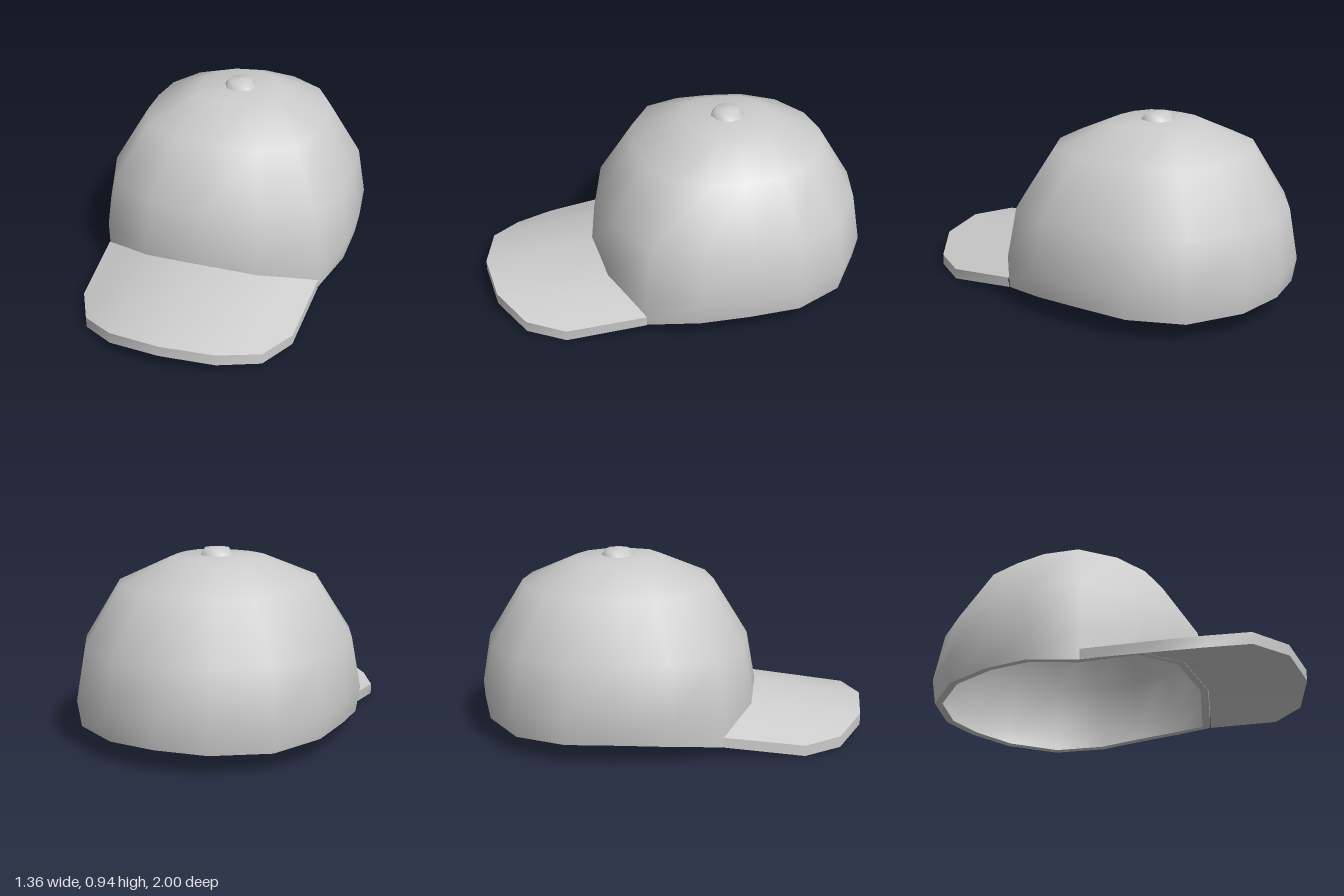
import * as THREE from 'three';
import { toCreasedNormals } from 'three/addons/utils/BufferGeometryUtils.js';

const CENTRE_Z = -0.28;
const material = new THREE.MeshStandardMaterial({ color: 0xcccccc });

// Skin a list of equally long rows of [x, y, z] points, skipping collapsed triangles.
function skin(rows, closed, crease) {
  const pos = [];
  const v = (p) => new THREE.Vector3(...p);
  const tri = (a, b, c) => {
    const area = v(b).sub(v(a)).cross(v(c).sub(v(a))).length();
    if (area > 1e-7) pos.push(...a, ...b, ...c);
  };
  const n = rows[0].length;
  for (let i = 0; i < rows.length - 1; i++) {
    for (let j = 0; j < (closed ? n : n - 1); j++) {
      const k = (j + 1) % n;
      tri(rows[i][j], rows[i][k], rows[i + 1][k]);
      tri(rows[i][j], rows[i + 1][k], rows[i + 1][j]);
    }
  }
  const geometry = new THREE.BufferGeometry();
  geometry.setAttribute('position', new THREE.Float32BufferAttribute(pos, 3));
  return toCreasedNormals(geometry, crease);
}

function addMesh(group, name, geometry) {
  const mesh = new THREE.Mesh(geometry, material);
  mesh.name = name;
  group.add(mesh);
  return mesh;
}

// Half of the head outline [x, z], from the front middle to the back middle
const outline = [[0, 0.435], [0.3, 0.39], [0.575, 0.23], [0.67, -0.02], [0.68, -0.27],
  [0.652, -0.54], [0.51, -0.79], [0.255, -0.953], [0, -1]];
// Height of the hem at each outline point; it rises under the brim
const hem = [0.19, 0.15, 0.06, 0.097, 0.11, 0.106, 0.096, 0.102, 0.11];

// Full ring made from the mirrored half outline
function ring(scale, height) {
  const half = outline.map(([x, z], i) =>
    [x * scale(i), height(i), CENTRE_Z + (z - CENTRE_Z) * scale(i)]);
  const mirrored = half.slice(1, -1).reverse().map(([x, y, z]) => [-x, y, z]);
  return [...half, ...mirrored];
}

function crownGeometry() {
  // [scale, height] from the widest ring up to the top
  const levels = [[1, 0.225], [0.935, 0.48], [0.685, 0.77], [0.317, 0.887], [0, 0.9]];
  const hemScale = (i) => (i < 3 ? 0.995 : 0.972);
  const outer = levels.map(([s, y]) => ring(() => s, () => y));
  const inner = levels.map(([s, y]) => ring(() => s * 0.945, () => y - 0.02)).reverse();
  const rows = [
    ...inner,
    ring((i) => hemScale(i) * 0.945, (i) => hem[i] + 0.003),
    ring(hemScale, (i) => hem[i]),
    ...outer,
  ];
  return skin(rows, true, 0.95);
}

function brimGeometry() {
  // Half columns from the middle outwards: [x, z, top y, bottom y]
  const root = [[0, 0.433, 0.22, 0.19], [0.3, 0.388, 0.187, 0.15],
    [0.44, 0.308, 0.15, 0.105], [0.575, 0.23, 0.11, 0.06], [0.575, 0.23, 0.11, 0.06]];
  const rim = [[0, 1, 0.135, 0.08], [0.265, 0.953, 0.113, 0.055],
    [0.45, 0.82, 0.062, 0.006], [0.548, 0.63, 0.054, 0], [0.575, 0.23, 0.11, 0.06]];
  const row = (half, k) => {
    const right = half.map((p) => [p[0], p[k], p[1]]);
    const left = right.slice(1).reverse().map(([x, y, z]) => [-x, y, z]);
    return [...left, ...right];
  };
  return skin([row(root, 3), row(rim, 3), row(rim, 2), row(root, 2)], false, 0.95);
}

export function createModel() {
  const cap = new THREE.Group();
  cap.name = 'cap';

  // Hollow crown with a thick hem
  addMesh(cap, 'crown', crownGeometry());

  // Arched brim
  addMesh(cap, 'brim', brimGeometry());

  // Small button on top
  const profile = [[0.09, 0.885], [0.083, 0.9], [0.062, 0.928], [0, 0.935]]
    .map(([r, y]) => new THREE.Vector2(r, y));
  const button = addMesh(cap, 'topButton', new THREE.LatheGeometry(profile, 8));
  button.position.z = CENTRE_Z;

  return cap;
}
